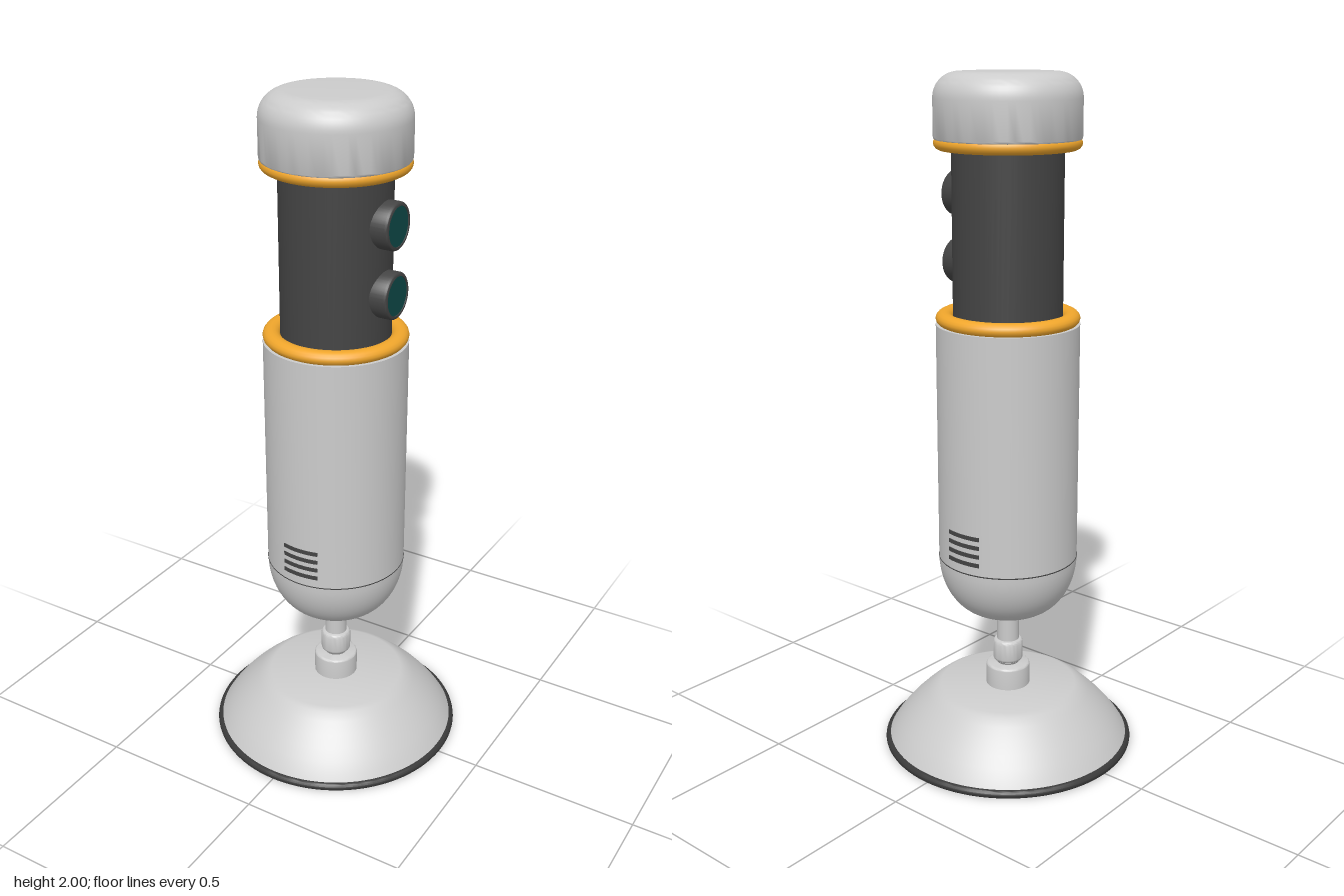
import * as THREE from 'three';
import { toCreasedNormals } from 'three/addons/utils/BufferGeometryUtils.js';

const material = (color) => new THREE.MeshStandardMaterial({ color, side: THREE.DoubleSide });

export function createModel() {
  const model = new THREE.Group();
  const grey = material(0xcccccc);
  const dark = material(0x444444);
  const black = material(0x3a3a3a);
  const amber = material(0xf0a62c);
  const teal = material(0x0f4a48);

  const add = (name, geometry, mat, parent = model) => {
    const mesh = new THREE.Mesh(geometry, mat);
    mesh.name = name;
    parent.add(mesh);
    return mesh;
  };
  // Turned part from [radius, height] pairs, with sharp edges kept
  const turned = (points, segments = 64) => toCreasedNormals(
    new THREE.LatheGeometry(points.map(([r, y]) => new THREE.Vector2(r, y)), segments), 0.6);
  // Points on an elliptical arc, from angle a to angle b
  const arc = (cx, cy, rx, ry, a, b, n = 10) => Array.from({ length: n + 1 }, (_, i) => {
    const t = a + (b - a) * i / n;
    return [Math.max(0, cx + rx * Math.cos(t)), cy + ry * Math.sin(t)];
  });
  const Q = Math.PI / 2;

  // Base: rubber foot and flared shell
  add('rubberFoot', turned([[0, 0.005], [0.368, 0.005],
    ...arc(0.366, 0.017, 0.011, 0.012, -Q, Q, 8), [0.35, 0.029]], 96), black);
  add('baseShell', turned([[0.365, 0.026], [0.35, 0.05], [0.33, 0.076], [0.305, 0.105],
    [0.275, 0.135], [0.245, 0.162], [0.222, 0.18], [0.205, 0.187], [0, 0.187]], 96), grey);

  // Stand: socket, joint and stem
  add('baseSocket', turned([[0.066, 0.18], ...arc(0.058, 0.247, 0.008, 0.008, 0, Q, 4), [0, 0.255]], 40), grey);
  add('jointCollar', turned([[0.03, 0.25], [0.036, 0.262],
    ...arc(0.034, 0.274, 0.011, 0.011, -Q, 0, 4),
    ...arc(0.034, 0.322, 0.011, 0.011, 0, Q, 4), [0, 0.333]], 40), grey);
  add('stem', new THREE.CylinderGeometry(0.033, 0.033, 0.14, 32).translate(0, 0.39, 0), grey);

  // Main body: rounded bottom and cylindrical housing
  add('bodyDome', turned([[0, 0.43], [0.07, 0.43],
    ...arc(0.07, 0.61, 0.135, 0.18, -Q, 0, 16)]), grey);
  add('bodyHousing', turned([[0.205, 0.61], [0.205, 1.31], [0.15, 1.31]]), grey);
  add('bodySeam', new THREE.TorusGeometry(0.2035, 0.0025, 6, 64).rotateX(Q).translate(0, 0.61, 0), dark);

  // Vent slots on front and back
  for (const side of [1, -1]) {
    const vents = new THREE.Group();
    vents.name = side > 0 ? 'frontVents' : 'backVents';
    for (let i = 0; i < 4; i++) {
      const slot = new THREE.BoxGeometry(0.112, 0.012, 0.022, 8, 1, 1);
      const p = slot.attributes.position;
      // Bend each slot to follow the cylindrical wall
      for (let k = 0; k < p.count; k++) {
        p.setZ(k, Math.sqrt(0.207 ** 2 - p.getX(k) ** 2) + p.getZ(k) - 0.011);
      }
      slot.computeVertexNormals();
      add('ventSlot', slot, dark, vents).position.y = 0.643 + i * 0.0265;
    }
    if (side < 0) vents.rotation.y = Math.PI;
    model.add(vents);
  }

  // Slim dark section between two amber rings
  add('neck', new THREE.CylinderGeometry(0.156, 0.156, 0.53, 64).translate(0, 1.565, 0), dark);
  for (const [name, y] of [['lowerRing', 1.326], ['upperRing', 1.811]]) {
    const ring = new THREE.TorusGeometry(0.18, 0.025, 16, 72).rotateX(Q).scale(1, 0.8, 1);
    add(name, ring, amber).position.y = y;
  }

  // Rounded cap
  add('cap', turned([[0, 1.818], [0.195, 1.818],
    ...arc(0.195, 1.828, 0.01, 0.01, -Q, 0, 4),
    ...arc(0.134, 1.93, 0.071, 0.07, 0, Q, 12), [0, 2]]), grey);

  // Two round lenses on the left side
  for (const [name, y] of [['lowerLens', 1.471], ['upperLens', 1.664]]) {
    const lens = new THREE.Group();
    lens.name = name;
    add('lensHousing', turned([[0.066, 0],
      ...arc(0.058, 0.063, 0.008, 0.008, 0, Q, 4), [0.055, 0.071], [0.055, 0.064]], 40), dark, lens);
    add('lensGlass', new THREE.CylinderGeometry(0.056, 0.056, 0.05, 40).translate(0, 0.043, 0), teal, lens);
    lens.rotation.z = -Q;
    lens.position.set(0.122, y, 0);
    model.add(lens);
  }

  return model;
}
